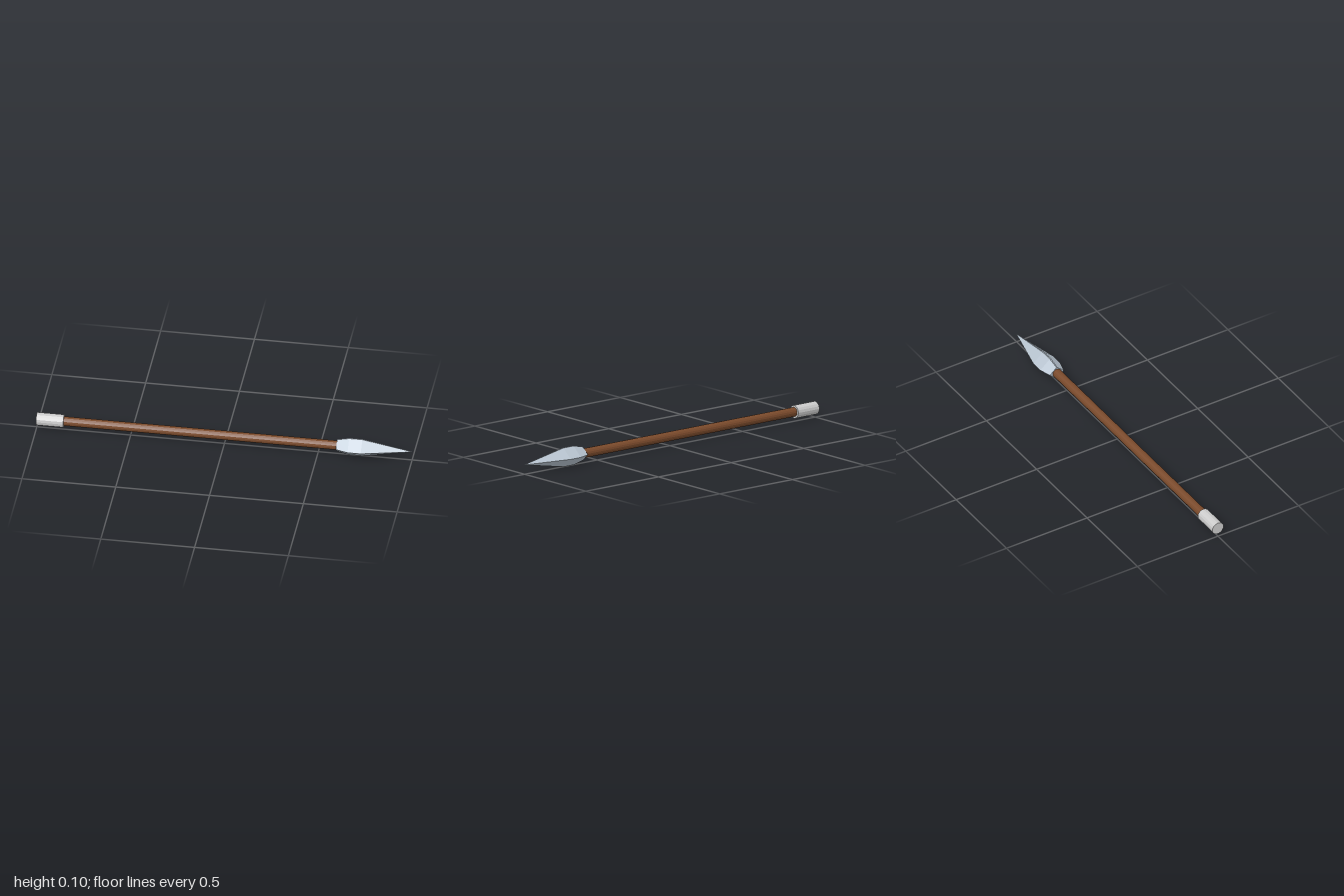
import * as THREE from 'three';

const AXIS_Y = 0.052;

// Cylinder lying along x from x0 to x1
function rod(name, radius, x0, x1, sides, color) {
  const geo = new THREE.CylinderGeometry(radius, radius, x1 - x0, sides);
  geo.rotateZ(-Math.PI / 2);
  const mesh = new THREE.Mesh(geo, new THREE.MeshStandardMaterial({ color, flatShading: true }));
  mesh.position.set((x0 + x1) / 2, AXIS_Y, 0);
  mesh.name = name;
  return mesh;
}

// Diamond-section blade: sharp side edges, narrow flats on top and bottom ridges
function bladeGeometry() {
  // x, half height, half width
  const stations = [
    [0.6, 0.036, 0.043],
    [0.665, 0.051, 0.062],
    [0.735, 0.051, 0.062],
    [1.0, 0.001, 0.001],
  ];
  const flat = 0.05; // ridge width as a share of the half width
  const outline = [[0, 1], [1, flat], [1, -flat], [0, -1], [-1, -flat], [-1, flat]];
  const n = outline.length;
  const pos = [];
  const index = [];
  for (const [x, h, w] of stations) {
    for (const [y, z] of outline) pos.push(x, y * h, z * w);
  }
  for (let s = 0; s < stations.length - 1; s++) {
    for (let i = 0; i < n; i++) {
      const a = s * n + i, b = s * n + (i + 1) % n;
      index.push(a, a + n, b, b, a + n, b + n);
    }
  }
  // End caps
  const last = (stations.length - 1) * n;
  for (let i = 1; i < n - 1; i++) {
    index.push(0, i, i + 1);
    index.push(last, last + i + 1, last + i);
  }
  // Outline runs from +z up to +y; make every face point outward
  const geo = new THREE.BufferGeometry();
  geo.setAttribute('position', new THREE.Float32BufferAttribute(pos, 3));
  geo.setIndex(index);
  const facets = geo.toNonIndexed();
  facets.computeVertexNormals();
  return facets;
}

export function createModel() {
  const group = new THREE.Group();
  group.name = 'spear';

  group.add(rod('shaft', 0.025, -0.9, 0.62, 16, 0x7a4a2b));
  group.add(rod('buttCap', 0.035, -1, -0.855, 16, 0xcccccc));

  const head = new THREE.Mesh(
    bladeGeometry(),
    new THREE.MeshStandardMaterial({ color: 0xb8c4d0, flatShading: true, side: THREE.DoubleSide })
  );
  head.position.y = AXIS_Y;
  head.name = 'spearHead';
  group.add(head);

  return group;
}
